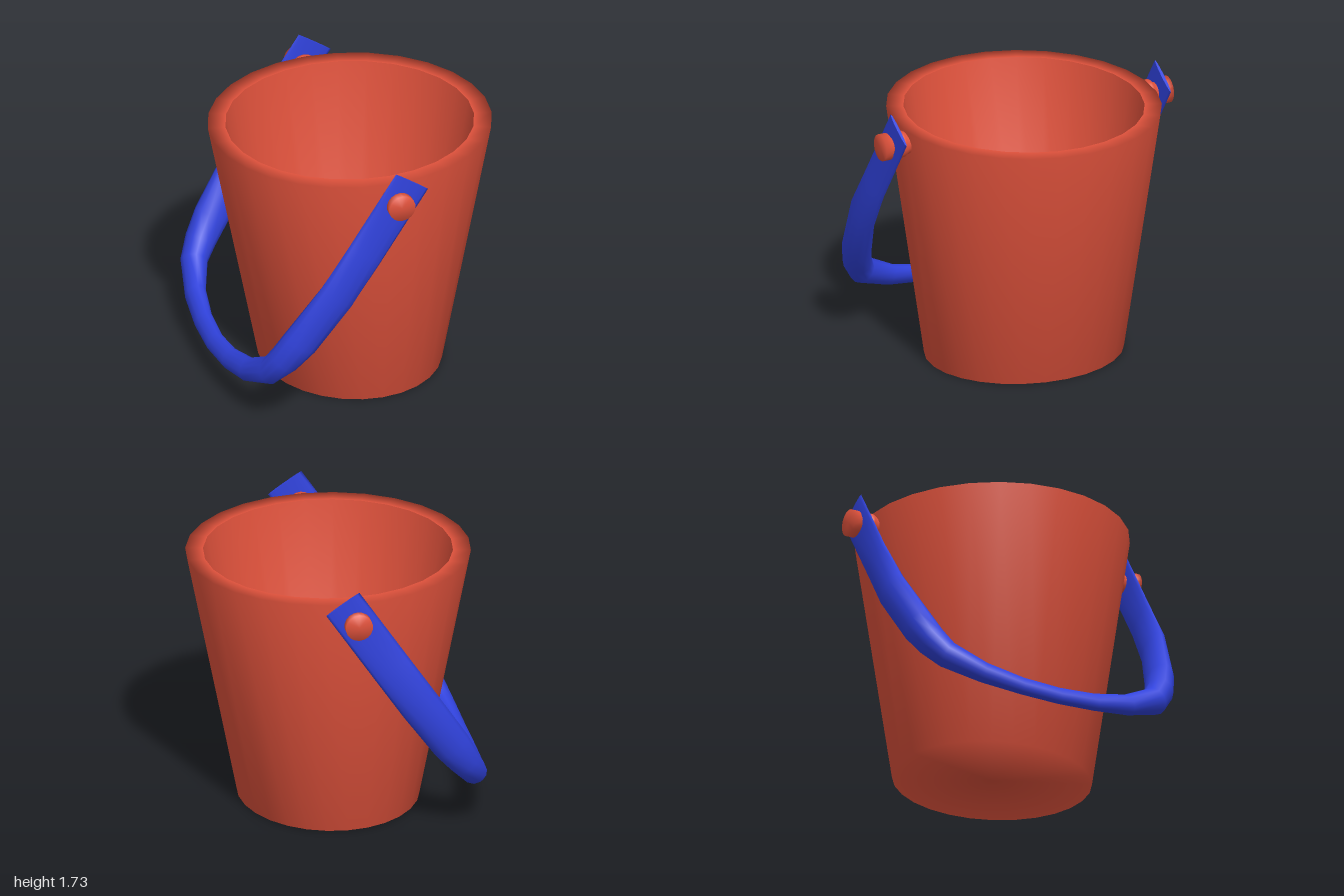
import * as THREE from 'three';
import { mergeVertices } from 'three/addons/utils/BufferGeometryUtils.js';

const red = new THREE.MeshStandardMaterial({ color: 0xe0523c });
const blue = new THREE.MeshStandardMaterial({ color: 0x3042dc });
const HEIGHT = 1.62;
const CENTRE_X = 0.02;
const PIVOT = new THREE.Vector3(CENTRE_X, 1.53, 0);

const lathe = (points, sides) =>
  new THREE.LatheGeometry(points.map(([r, y]) => new THREE.Vector2(r, y)), sides);

// Lathed wall, slightly narrower in x at the foot and wider at the rim
function bucketSurface(name, points) {
  let geo = lathe(points, 28);
  const pos = geo.attributes.position;
  for (let i = 0; i < pos.count; i++) {
    const k = THREE.MathUtils.lerp(0.89, 1.048, pos.getY(i) / HEIGHT);
    pos.setX(i, pos.getX(i) * k);
  }
  geo.deleteAttribute('uv');
  geo.deleteAttribute('normal');
  geo = mergeVertices(geo, 1e-4);
  geo.computeVertexNormals();
  const mesh = new THREE.Mesh(geo, red);
  mesh.name = name;
  mesh.position.x = CENTRE_X;
  return mesh;
}

// Spool-shaped pivot peg on the front (side = 1) or back (side = -1)
function peg(side) {
  const geo = lathe([
    [0, 0.76], [0.065, 0.76], [0.072, 0.83], [0.085, 0.855], [0.085, 0.875],
    [0.06, 0.9], [0.06, 0.935], [0.085, 0.95], [0.085, 1.0], [0, 1.0],
  ], 18);
  geo.rotateX(side * Math.PI / 2);
  const mesh = new THREE.Mesh(geo, red);
  mesh.name = side > 0 ? 'frontPeg' : 'backPeg';
  mesh.position.copy(PIVOT);
  return mesh;
}

// Flat strap ends that swell into a rounded grip, swept along a planar U
function handle() {
  // distance from pivot, z, width across the plane, thickness in the plane
  const half = [
    [-0.16, 0.92, 0.25, 0.02], [0.1, 0.92, 0.25, 0.03], [0.4, 0.92, 0.25, 0.06],
    [0.72, 0.91, 0.25, 0.12], [1.1, 0.84, 0.235, 0.17], [1.26, 0.79, 0.2, 0.18],
    [1.38, 0.72, 0.165, 0.18], [1.5, 0.5, 0.12, 0.15], [1.56, 0.25, 0.095, 0.135],
  ];
  const mirrored = half.map(([s, z, w, t]) => [s, -z, w, t]).reverse();
  const stations = [...half, [1.58, 0, 0.09, 0.13], ...mirrored];

  const down = new THREE.Vector3(-0.554, -0.832, 0).normalize();
  const across = new THREE.Vector3(-down.y, down.x, 0);
  const centres = stations.map(([s, z]) => {
    const p = PIVOT.clone().addScaledVector(down, s);
    p.z = z;
    return p;
  });

  const SIDES = 12;
  const last = stations.length - 1;
  const verts = [];
  const index = [];
  stations.forEach(([, , w, t], i) => {
    const tangent = centres[Math.min(i + 1, last)].clone()
      .sub(centres[Math.max(i - 1, 0)]).normalize();
    const inPlane = tangent.clone().cross(across);
    for (let j = 0; j < SIDES; j++) {
      const a = (j / SIDES) * Math.PI * 2;
      const p = centres[i].clone()
        .addScaledVector(across, Math.cos(a) * w / 2)
        .addScaledVector(inPlane, Math.sin(a) * t / 2);
      verts.push(p.x, p.y, p.z);
      if (i < last) {
        const n = (j + 1) % SIDES;
        const A = i * SIDES + j, B = i * SIDES + n;
        index.push(A, B, A + SIDES, B, B + SIDES, A + SIDES);
      }
    }
  });
  // End caps on their own vertices, so the edge stays sharp
  for (const ring of [0, last]) {
    const base = verts.length / 3;
    const from = ring * SIDES * 3;
    verts.push(...verts.slice(from, from + SIDES * 3));
    for (let j = 1; j < SIDES - 1; j++) {
      if (ring === 0) index.push(base, base + j + 1, base + j);
      else index.push(base, base + j, base + j + 1);
    }
  }
  const geo = new THREE.BufferGeometry();
  geo.setAttribute('position', new THREE.Float32BufferAttribute(verts, 3));
  geo.setIndex(index);
  geo.computeVertexNormals();
  const mesh = new THREE.Mesh(geo, blue);
  mesh.name = 'handle';
  return mesh;
}

export function createModel() {
  const model = new THREE.Group();
  model.name = 'bucket';
  model.add(
    bucketSurface('outerWall', [[0, 0], [0.63, 0], [0.84, HEIGHT], [0.735, HEIGHT]]),
    bucketSurface('innerWall', [[0.735, HEIGHT], [0.54, 0.1], [0, 0.1]]),
    peg(1),
    peg(-1),
    handle(),
  );
  return model;
}
